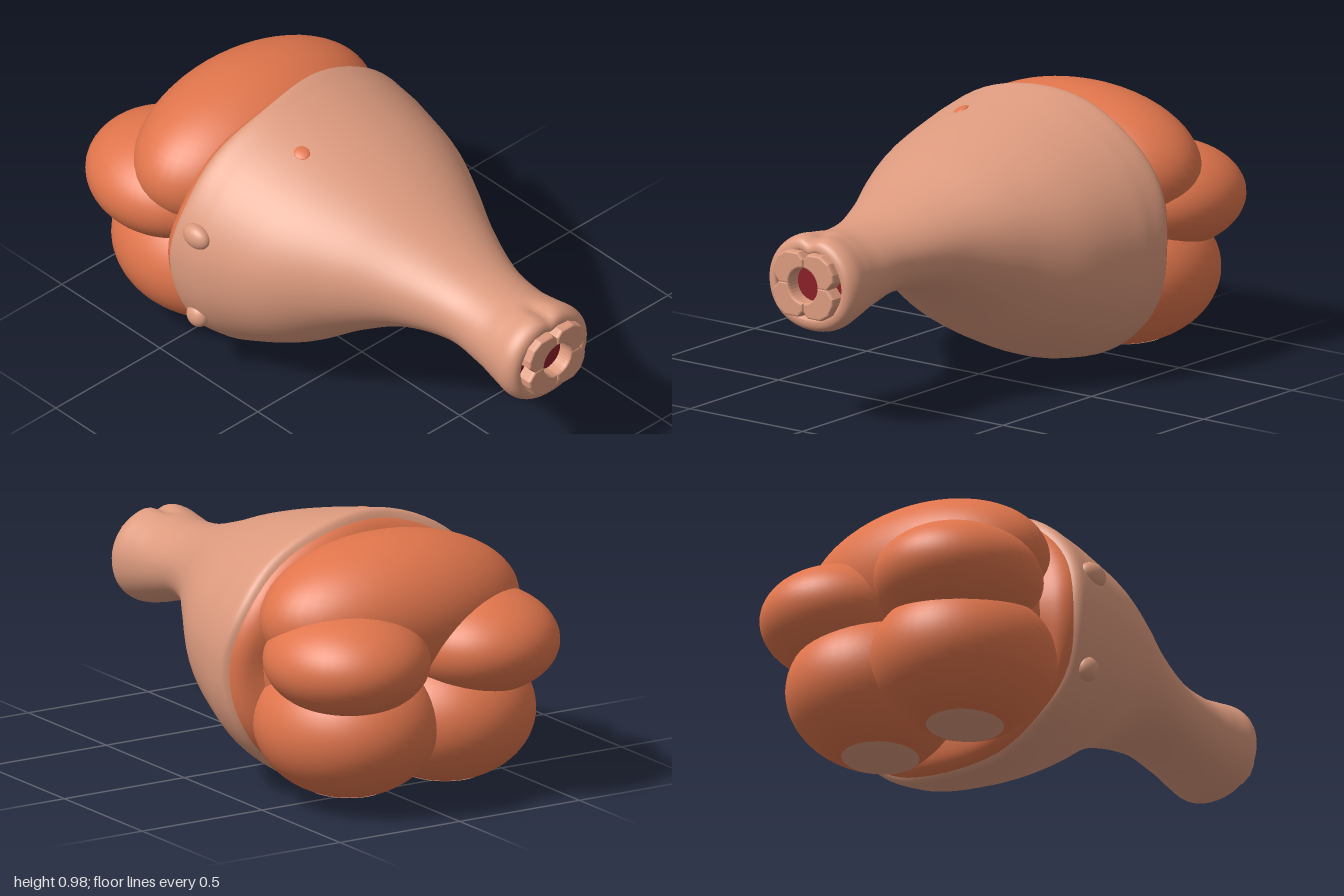
import * as THREE from 'three';

const paint = (name, color, side = THREE.FrontSide) =>
  Object.assign(new THREE.MeshStandardMaterial({ color, side }), { name });

// Smooth tube along x through stations [x, top, bottom, halfWidth]; bend() may adjust each vertex
function loft(stations, steps, sides, bend) {
  const spline = k => new THREE.SplineCurve(stations.map(s => new THREE.Vector2(s[0], s[k])));
  const top = spline(1), bottom = spline(2), width = spline(3);
  const pos = [], index = [];
  for (let i = 0; i <= steps; i++) {
    const t = i / steps, p = top.getPoint(t), low = bottom.getPoint(t).y, w = width.getPoint(t).y;
    const mid = (p.y + low) / 2, h = (p.y - low) / 2;
    for (let j = 0; j < sides; j++) {
      const a = (j / sides) * Math.PI * 2, c = Math.cos(a), s = Math.sin(a);
      // the lower half is slightly squarer than an ellipse
      const e = c < 0 ? 0.92 : 1;
      const v = new THREE.Vector3(p.x,
        mid + h * Math.sign(c) * Math.abs(c) ** e,
        w * Math.sign(s) * Math.abs(s) ** e);
      bend(v, a, mid);
      pos.push(v.x, v.y, v.z);
      if (i < steps) {
        const k = i * sides + j, n = i * sides + (j + 1) % sides;
        index.push(k, n, k + sides, n, n + sides, k + sides);
      }
    }
  }
  const g = new THREE.BufferGeometry();
  g.setAttribute('position', new THREE.Float32BufferAttribute(pos, 3));
  g.setIndex(index);
  g.computeVertexNormals();
  return g;
}

export function createModel() {
  const model = new THREE.Group();
  const skin = paint('skin', 0xdc9a7e, THREE.DoubleSide);
  const flesh = paint('flesh', 0xe0754c, THREE.DoubleSide);
  const marrow = paint('marrow', 0x8a1f26);

  const add = (name, geometry, material, position = [0, 0, 0], scale = [1, 1, 1]) => {
    const mesh = new THREE.Mesh(geometry, material);
    mesh.name = name;
    mesh.position.set(...position);
    mesh.scale.set(...scale);
    model.add(mesh);
    return mesh;
  };

  // Wavy rim near the thick end
  const wave = (v, a) => {
    const fade = THREE.MathUtils.clamp((-0.25 - v.x) / 0.12, 0, 1);
    v.x += fade * (0.013 * Math.sin(3 * a + 0.6) + 0.007 * Math.sin(7 * a));
  };

  // Skin: wide rim, tapering leg, knuckle turned inward at the end
  add('skin', loft([
    [-0.385, 0.945, 0.03, 0.54], [-0.355, 0.98, 0.006, 0.566], [-0.28, 0.97, 0.015, 0.563],
    [-0.2, 0.953, 0.04, 0.55], [0, 0.905, 0.14, 0.49], [0.2, 0.845, 0.285, 0.38],
    [0.4, 0.77, 0.395, 0.265], [0.6, 0.707, 0.43, 0.187], [0.75, 0.688, 0.4, 0.175],
    [0.85, 0.698, 0.37, 0.185], [0.92, 0.706, 0.355, 0.194], [0.96, 0.69, 0.37, 0.177],
    [0.965, 0.655, 0.405, 0.146], [0.92, 0.65, 0.41, 0.14],
  ], 104, 72, (v, a, mid) => {
    wave(v, a);
    // crease on top of the knuckle
    const d = Math.atan2(Math.sin(a), Math.cos(a));
    const f = 1 - 0.12 * THREE.MathUtils.smoothstep(v.x, 0.8, 0.9) * Math.exp(-((d / 0.16) ** 2));
    v.y = mid + (v.y - mid) * f;
    v.z *= f;
  }), skin);

  // Exposed flesh collar under the skin rim
  add('fleshCollar', loft([
    [-0.45, 0.84, 0.15, 0.44], [-0.425, 0.905, 0.06, 0.51],
    [-0.385, 0.95, 0.025, 0.545], [-0.33, 0.965, 0.02, 0.55],
  ], 16, 72, wave), flesh);

  // Muscle lobes
  const ball = new THREE.SphereGeometry(1, 48, 32);
  add('fleshCore', ball, flesh, [-0.45, 0.49, 0], [0.25, 0.37, 0.45]);
  add('upperLobe', ball, flesh, [-0.55, 0.68, 0], [0.31, 0.27, 0.505]);
  const cap = new THREE.SphereGeometry(1.006, 32, 8, 0, Math.PI * 2, Math.PI - 0.42, 0.42);
  for (const s of [1, -1]) {
    const side = s > 0 ? 'Front' : 'Back';
    add('middleLobe' + side, ball, flesh, [-0.69, 0.56, s * 0.27], [0.31, 0.19, 0.288]);
    add('lowerLobe' + side, ball, flesh, [-0.58, 0.3, s * 0.2], [0.35, 0.26, 0.32]);
    add('skinPatch' + side, cap, skin, [-0.58, 0.3, s * 0.2], [0.35, 0.26, 0.32]);
  }

  // Small bumps and a bare spot on the skin
  add('upperBump', ball, skin, [-0.28, 0.64, 0.53], [0.06, 0.045, 0.036]);
  add('lowerBump', ball, skin, [-0.29, 0.28, 0.515], [0.045, 0.045, 0.035]);
  add('bareSpot', ball, flesh, [-0.12, 0.909, 0.175], [0.03, 0.008, 0.027]).rotation.set(0.32, 0, -0.24);

  // Marrow behind the bone end
  const disc = new THREE.CircleGeometry(1, 40);
  disc.rotateY(Math.PI / 2);
  add('marrow', disc, marrow, [0.945, 0.532, 0], [1, 0.125, 0.145]);

  // Bone end: four rounded quarters around a central hole
  const bone = new THREE.Group();
  bone.name = 'boneEnd';
  bone.position.set(0.935, 0.532, 0);
  bone.rotation.y = Math.PI / 2;
  for (const sx of [1, -1]) for (const sy of [1, -1]) {
    const pts = [[0.007, 0.07], [0.007, 0.092], [0.024, 0.11], [0.075, 0.11], [0.108, 0.09],
      [0.126, 0.055], [0.128, 0.032], [0.103, 0.004], [0.07, 0.004]];
    for (let i = 1; i < 8; i++) {
      const a = (i / 8) * Math.PI / 2;
      pts.push([0.07 * Math.cos(a), 0.07 * Math.sin(a)]);
    }
    const shape = new THREE.Shape(pts.map(p => new THREE.Vector2(p[0] * sx, p[1] * sy)));
    const quarter = new THREE.Mesh(new THREE.ExtrudeGeometry(shape, {
      depth: 0.053, bevelThickness: 0.012, bevelSize: 0.007, bevelSegments: 3,
    }), skin);
    quarter.name = 'boneQuarter';
    bone.add(quarter);
  }
  model.add(bone);
  return model;
}
